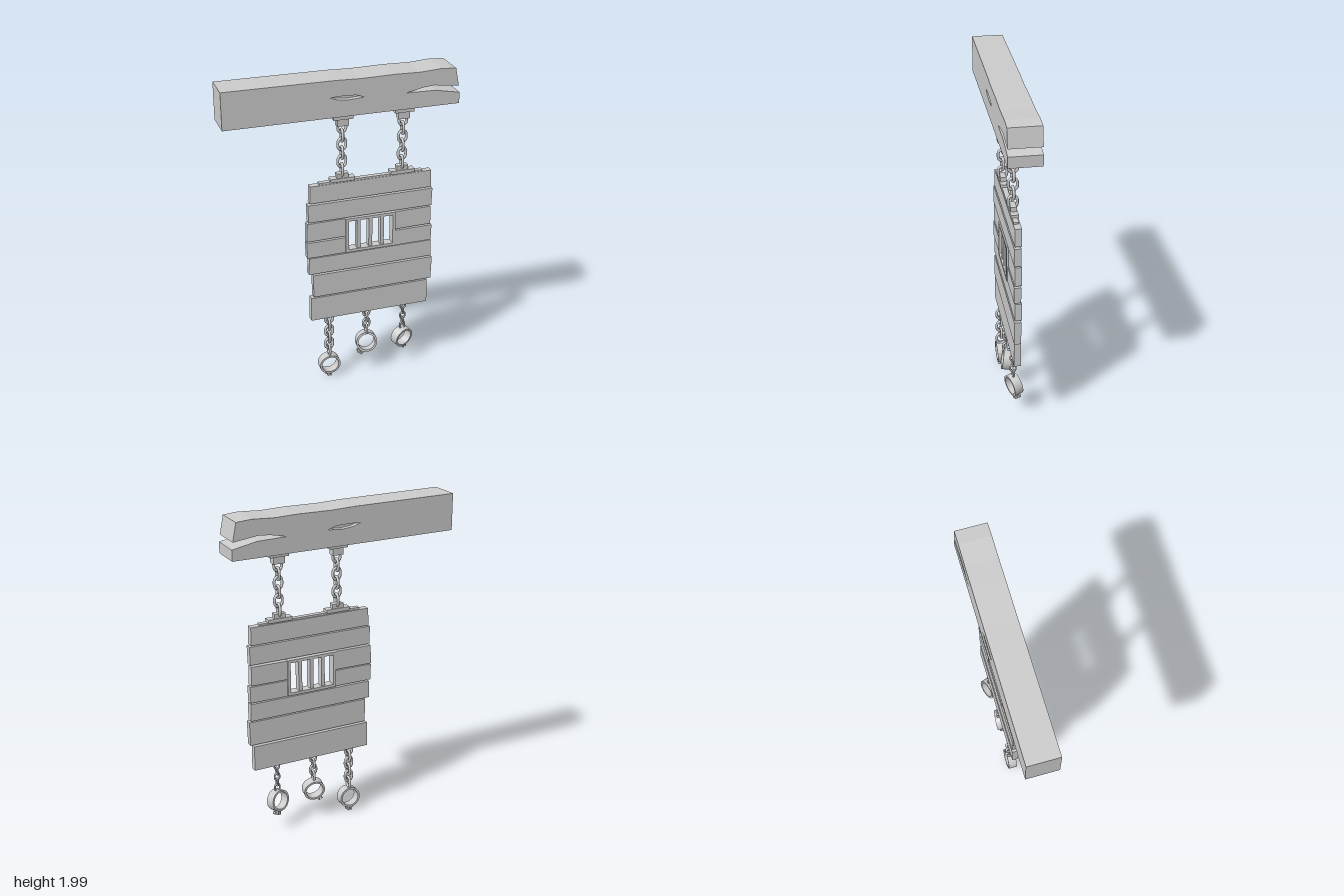
import * as THREE from 'three';
import { toCreasedNormals } from 'three/addons/utils/BufferGeometryUtils.js';

const mat = new THREE.MeshStandardMaterial({ color: 0xcccccc });
const W = 0.015; // depth offset of everything hanging below the beam

function add(parent, name, geometry, x = 0, y = 0, z = 0) {
  const mesh = new THREE.Mesh(geometry, mat);
  mesh.name = name;
  mesh.position.set(x, y, z);
  parent.add(mesh);
  return mesh;
}

// Box given by its extents along x and y, centred on z
function block(parent, name, x0, x1, y0, y1, depth, z = W) {
  return add(parent, name, new THREE.BoxGeometry(x1 - x0, y1 - y0, depth), (x0 + x1) / 2, (y0 + y1) / 2, z);
}

// Extruded outline, centred on z
function slab(parent, name, points, depth, z, hole) {
  const vec = (list) => list.map(([x, y]) => new THREE.Vector2(x, y));
  const shape = new THREE.Shape(vec(points));
  if (hole) shape.holes.push(new THREE.Path(vec(hole)));
  const geo = new THREE.ExtrudeGeometry(shape, { depth, bevelEnabled: false });
  return add(parent, name, geo, 0, 0, z - depth / 2);
}

// Stadium-shaped chain link in the xy plane
function linkGeometry(length, width, wire) {
  const r = width / 2 - wire, h = length / 2 - wire - r;
  const points = [];
  for (let i = 0; i < 12; i++) {
    const a = ((i + 0.5) / 12) * Math.PI * 2;
    points.push(new THREE.Vector3(Math.cos(a) * r, Math.sin(a) * r + Math.sign(Math.sin(a)) * h, 0));
  }
  return new THREE.TubeGeometry(new THREE.CatmullRomCurve3(points, true), 24, wire, 8, true);
}

// Links alternate between the two vertical planes
function chain(parent, name, x, top, bottom, count, s = 1) {
  const group = new THREE.Group();
  group.name = name;
  const length = 0.088 * s;
  const geo = linkGeometry(length, 0.066 * s, 0.0085 * s);
  for (let i = 0; i < count; i++) {
    const y = THREE.MathUtils.lerp(top - length / 2, bottom + length / 2, i / (count - 1));
    add(group, 'link', geo, x, y, W).rotation.y = i % 2 ? Math.PI / 4 + 0.7 : 0.1;
  }
  parent.add(group);
}

// Round cuff with a hinge lug on top and a bolted clasp below
function shackle(parent, x, y, z, yaw, pitch, roll) {
  const group = new THREE.Group();
  group.name = 'shackle';
  const d = 0.027;
  const profile = [[0.054, -d], [0.067, -d], [0.067, d], [0.054, d], [0.054, -d]].map(([a, b]) => new THREE.Vector2(a, b));
  const ring = toCreasedNormals(new THREE.LatheGeometry(profile, 32), 0.6);
  ring.rotateX(Math.PI / 2);
  add(group, 'cuff', ring);
  for (const side of [-1, 1]) {
    add(group, 'claspEar', new THREE.BoxGeometry(0.01, 0.03, 0.04), side * 0.009, -0.076, 0);
  }
  const bolt = new THREE.CylinderGeometry(0.008, 0.008, 0.046, 10);
  bolt.rotateZ(Math.PI / 2);
  add(group, 'claspBolt', bolt, 0, -0.078, 0);
  group.position.set(x, y, z);
  group.rotation.set(pitch, yaw, roll);
  parent.add(group);
}

export function createModel() {
  const model = new THREE.Group();
  model.name = 'hangingSign';
  const sign = new THREE.Group();
  sign.name = 'sign';
  sign.rotation.y = 0.905;
  model.add(sign);

  // Beam: split at one end, with a shallow gash on both faces
  const beam = [
    [-0.697, 1.78], [0.697, 1.78], [0.697, 1.845], [0.62, 1.86], [0.55, 1.874], [0.37, 1.878],
    [0.47, 1.899], [0.54, 1.905], [0.69, 1.885], [0.668, 1.993], [0.58, 2], [0.45, 1.992],
    [0.3, 1.996], [0.1, 1.993], [-0.05, 1.998], [-0.697, 2],
  ];
  const gash = [[-0.085, 1.9], [-0.04, 1.884], [0.03, 1.877], [0.12, 1.883], [0.07, 1.9], [-0.02, 1.903]];
  slab(sign, 'beamCore', beam, 0.126, 0);
  for (const side of [-1, 1]) slab(sign, 'beamFace', beam, 0.03, side * 0.078, gash);

  // Planks: left end, right end, bottom, top, tilt; two rows are cut for the window
  const win = { x0: 0.03, x1: 0.345, y0: 0.885, y1: 1.11 };
  const rows = [
    [-0.19, 0.57, 1.238, 1.35, 0.003], [-0.2, 0.575, 1.117, 1.232, -0.003],
    [-0.21, 0.575, 0.99, 1.11, 0.003, true], [-0.21, 0.58, 0.882, 0.985, -0.002, true],
    [-0.2, 0.585, 0.767, 0.878, 0.003], [-0.172, 0.59, 0.609, 0.761, -0.003], [-0.188, 0.57, 0.442, 0.601, 0.002],
  ];
  rows.forEach(([x0, x1, y0, y1, tilt, cut], i) => {
    const spans = cut ? [[x0, win.x0 + 0.01], [win.x1 - 0.01, x1]] : [[x0, x1]];
    for (const [a, b] of spans) {
      const outline = [[a, y0], [b, y0 + Math.abs(tilt)], [b - tilt, y1], [a + tilt, y1 - Math.abs(tilt)]];
      slab(sign, 'plank', outline, 0.04, W + (i % 2 ? 0.002 : -0.002));
    }
  });

  // Barred window
  const t = 0.018;
  block(sign, 'windowSill', win.x0, win.x1, win.y0, win.y0 + t, 0.056);
  block(sign, 'windowHead', win.x0, win.x1, win.y1 - t, win.y1, 0.056);
  block(sign, 'windowJamb', win.x0, win.x0 + t, win.y0 + t, win.y1 - t, 0.056);
  block(sign, 'windowJamb', win.x1 - t, win.x1, win.y0 + t, win.y1 - t, 0.056);
  for (let i = 1; i <= 3; i++) {
    const x = THREE.MathUtils.lerp(win.x0 + t / 2, win.x1 - t / 2, i / 4);
    block(sign, 'windowBar', x - 0.011, x + 0.011, win.y0 + t, win.y1 - t, 0.042);
  }

  // Upper chains with stepped brackets on the beam and the panel
  block(sign, 'topStrip', -0.13, 0.51, 1.345, 1.36, 0.03);
  for (const x of [0.012, 0.383]) {
    block(sign, 'beamBracketPlate', x - 0.09, x + 0.09, 1.763, 1.782, 0.07);
    block(sign, 'beamBracketStep', x - 0.058, x + 0.058, 1.742, 1.763, 0.06);
    block(sign, 'beamBracketLug', x - 0.035, x + 0.035, 1.7, 1.742, 0.045);
    block(sign, 'panelBracketPlate', x - 0.075, x + 0.075, 1.355, 1.377, 0.045);
    block(sign, 'panelBracketLug', x - 0.035, x + 0.035, 1.377, 1.405, 0.035);
    chain(sign, 'upperChain', x, 1.735, 1.38, 6);
  }

  // Lower chains and shackles
  chain(sign, 'lowerChain', -0.07, 0.475, 0.155, 6);
  shackle(sign, -0.07, 0.1, W, 0, 0.05, 0);
  chain(sign, 'lowerChain', 0.175, 0.47, 0.268, 4, 0.85);
  shackle(sign, 0.175, 0.215, W, -0.12, -0.15, -0.55);
  chain(sign, 'lowerChain', 0.418, 0.46, 0.255, 5, 0.66);
  shackle(sign, 0.418, 0.2, W - 0.005, 0.35, 0.15, 0.2);
  return model;
}
